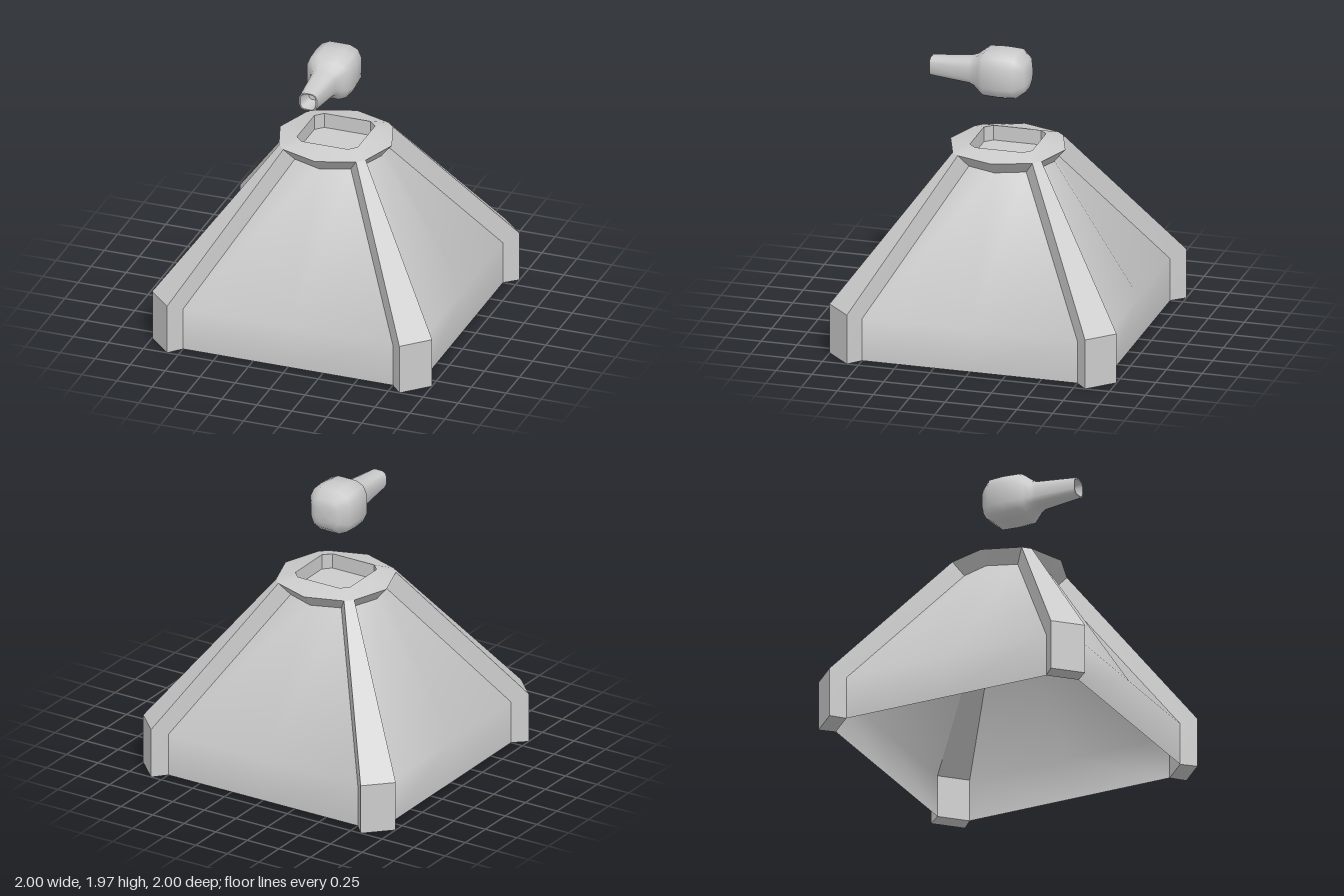
import * as THREE from 'three';
import { toCreasedNormals } from 'three/addons/utils/BufferGeometryUtils.js';

const grey = new THREE.MeshStandardMaterial({ color: 0xcccccc });
const thin = new THREE.MeshStandardMaterial({ color: 0xcccccc, side: THREE.DoubleSide });

// Skin a stack of cross-sections; each ring is a list of [x, y, z]
function loft(rings, { closed = true, startCap = false, endCap = false, crease = 0.6 } = {}) {
  const n = rings[0].length;
  const pos = rings.flat(2);
  const index = [];
  const steps = closed ? n : n - 1;
  for (let r = 0; r < rings.length - 1; r++) {
    for (let i = 0; i < steps; i++) {
      const a = r * n + i, b = r * n + (i + 1) % n;
      index.push(a, b, b + n, a, b + n, a + n);
    }
  }
  const cap = (r, flip) => {
    const c = pos.length / 3;
    for (let k = 0; k < 3; k++) pos.push(rings[r].reduce((s, p) => s + p[k], 0) / n);
    for (let i = 0; i < n; i++) {
      const a = r * n + i, b = r * n + (i + 1) % n;
      if (flip) index.push(c, b, a);
      else index.push(c, a, b);
    }
  };
  if (startCap) cap(0, true);
  if (endCap) cap(rings.length - 1, false);
  const geo = new THREE.BufferGeometry();
  geo.setAttribute('position', new THREE.Float32BufferAttribute(pos, 3));
  geo.setIndex(index);
  return toCreasedNormals(geo, crease);
}

// Repeat a quarter of an outline four times around the centre
function fourfold(quarter) {
  const out = [];
  for (let q = 0; q < 4; q++) {
    for (let [x, z] of quarter) {
      for (let k = 0; k < q; k++) [x, z] = [z, -x];
      out.push([x, z]);
    }
  }
  return out;
}

export function createModel() {
  const model = new THREE.Group();
  const add = (name, geo, mat = grey, turn = 0) => {
    const mesh = new THREE.Mesh(geo, mat);
    mesh.name = name;
    mesh.rotation.y = turn;
    model.add(mesh);
  };

  // Sloping wall: upright skirt, then leaning in and bulging slightly at the top
  const wallRow = (y, w, z, mid) => [[-w, y, z], [0, y, mid], [w, y, z]];
  const wall = loft([
    wallRow(0, 0.75, 0.91, 0.91),
    wallRow(0.3, 0.75, 0.91, 0.91),
    wallRow(1.21, 0.2, 0.25, 0.325),
  ], { closed: false, crease: 1.2 });

  // Tapered corner rib; a, b are the outer corner and c, d the inner corner
  const ribRing = (yo, a, b, yi, c, d) => [[a, yo, b], [b, yo, a], [d, yi, c], [c, yi, d]];
  const rib = loft([
    ribRing(0, 0.83, 1, 0, 0.75, 0.91),
    ribRing(0.35, 0.83, 1, 0.3, 0.75, 0.91),
    ribRing(1.3, 0.26, 0.31, 1.21, 0.2, 0.25),
  ], { startCap: true, endCap: true, crease: 0.3 });

  for (let i = 0; i < 4; i++) {
    add('wall', wall, thin, i * Math.PI / 2);
    add('cornerRib', rib, grey, i * Math.PI / 2);
  }

  // Flared collar with a square recess
  const collarRing = (y, quarter) => fourfold(quarter).map(([x, z]) => [x, y, z]);
  const hole = [[0, 0.217], [0.165, 0.217], [0.217, 0.165]];
  add('collar', loft([
    collarRing(1.21, [[0, 0.325], [0.2, 0.25], [0.25, 0.2]]),
    collarRing(1.3, [[0, 0.4], [0.26, 0.31], [0.31, 0.26]]),
    collarRing(1.335, hole),
    collarRing(1.23, hole),
  ], { endCap: true }), thin);

  // Floating head with a hollow nozzle, lofted along z from a rounded square
  const section = fourfold([[1, -0.46], [1, 0.46], [0.83, 0.83]].map(([x, y]) => [y, x]));
  const headRing = ([z, r]) => section.map(([x, y]) => [x * r, 1.81 + y * r, z]).reverse();
  const profile = [
    [-0.155, 0.06], [-0.14, 0.105], [-0.075, 0.155], [0.03, 0.16], [0.14, 0.155],
    [0.175, 0.13], [0.215, 0.1], [0.25, 0.088], [0.53, 0.063], [0.53, 0.055], [0.42, 0.035],
  ];
  add('nozzleHead', loft(profile.map(headRing), { startCap: true, endCap: true, crease: 0.95 }));

  return model;
}
